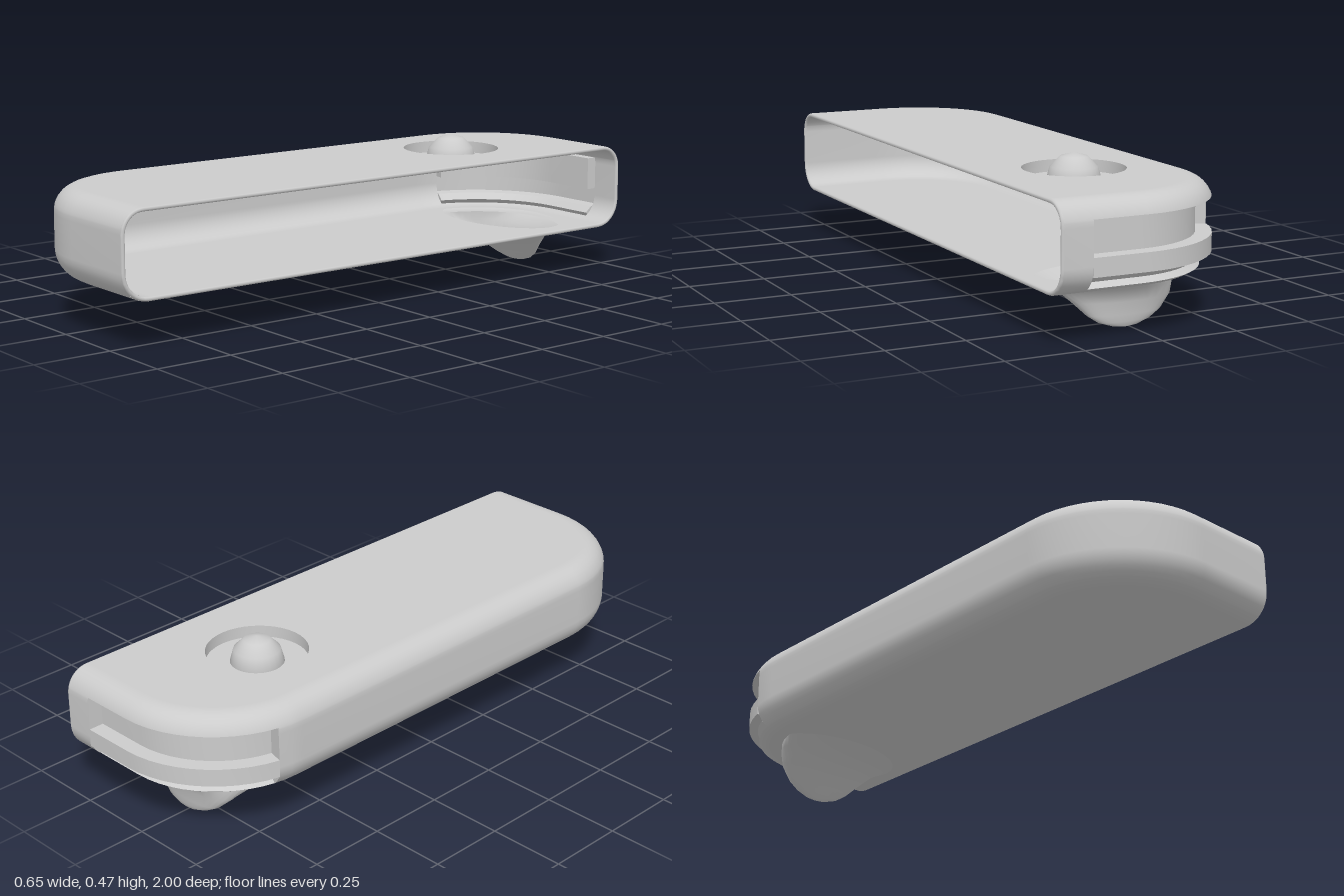
import * as THREE from 'three';
import { toCreasedNormals } from 'three/addons/utils/BufferGeometryUtils.js';

const TOP = 0.425, BOT = 0.147, R_TOP = 0.075, R_BOT = 0.09, WALL = 0.014;
const SLOT_TOP = 0.37, SLOT_BOT = 0.165, FLAT = 0.008;
const ARC = { x: 0.045, z: 0.63, r: 0.37, steps: 13 };
const SLOT_FROM = 1, SLOT_TO = 13; // slot range along the outline

const material = new THREE.MeshStandardMaterial({ color: 0xcccccc, side: THREE.DoubleSide });

function addMesh(group, name, geometry) {
  const mesh = new THREE.Mesh(geometry, material);
  mesh.name = name;
  group.add(mesh);
  return mesh;
}

// Surface through rows of points; skip(i, j) leaves a cell open
function grid(rows, skip = () => false) {
  const n = rows[0].length, index = [];
  for (let i = 0; i < rows.length - 1; i++) {
    for (let j = 0; j < n - 1; j++) {
      if (skip(i, j)) continue;
      const a = i * n + j, b = a + n;
      index.push(a, a + 1, b, b, a + 1, b + 1);
    }
  }
  const g = new THREE.BufferGeometry().setFromPoints(rows.flat());
  g.setIndex(index);
  g.computeVertexNormals();
  return g;
}

// Plan outline from the back of the open side, round to the front
function makeOutline() {
  const back = [0.318, 0.225].map(x => ({ x, z: -1, nx: 0, nz: -1 }));
  for (let i = 0; i <= ARC.steps; i++) {
    const a = (i / ARC.steps) * Math.PI / 2, nx = -Math.sin(a), nz = -Math.cos(a);
    back.push({ x: ARC.x + ARC.r * nx, z: -ARC.z + ARC.r * nz, nx, nz });
  }
  const front = back.map(p => ({ ...p, z: -p.z, nz: -p.nz })).reverse();
  return [...back, ...front];
}
const outline = makeOutline();
const at = (p, inset, y) => new THREE.Vector3(p.x - p.nx * inset, y, p.z - p.nz * inset);

// How far the rounded side wall lies inside the outline at height y
function insetAt(y, t) {
  const dTop = y - (TOP - R_TOP), dBot = BOT + R_BOT - y;
  const [d, r] = dTop > 0 ? [dTop, R_TOP - t] : dBot > 0 ? [dBot, R_BOT - t] : [0, 1];
  return t + r - Math.sqrt(Math.max(0, r * r - d * d));
}

// Side wall profile from bottom to top, as [inset, y]
function wallProfile(t) {
  const ys = [SLOT_BOT, SLOT_TOP];
  for (let i = 0; i <= 8; i++) {
    const s = Math.sin((i / 8) * Math.PI / 2);
    ys.push(BOT + R_BOT - (R_BOT - t) * s, TOP - R_TOP + (R_TOP - t) * s);
  }
  ys.sort((a, b) => a - b);
  return [[R_BOT + FLAT, BOT + t], ...ys.map(y => [insetAt(y, t), y]), [R_TOP + FLAT, TOP - t]];
}

// Flat top or bottom plate with one hole
function panel(inset, y, hole, up) {
  const s = up ? -1 : 1;
  const shape = new THREE.Shape(outline.map(p => at(p, inset, 0)).map(v => new THREE.Vector2(v.x, s * v.z)));
  shape.holes.push(new THREE.Path(hole.map(v => new THREE.Vector2(v.x, s * v.z))));
  const g = new THREE.ShapeGeometry(shape);
  g.rotateX(s * Math.PI / 2);
  return g.translate(0, y, 0);
}

// Closed horizontal section, kept within the rounded corner
function section(y, cx, hx, zBack, zFront, n = 32) {
  const pts = [];
  for (let i = 0; i <= n; i++) {
    const a = (i / n) * Math.PI * 2;
    let x = cx + hx * Math.cos(a);
    let z = (zBack + zFront) / 2 + (zFront - zBack) / 2 * Math.sin(a);
    const dx = x - ARC.x, dz = z + ARC.z, d = Math.hypot(dx, dz);
    if (dx < 0 && dz < 0 && d > 0.255) {
      x = ARC.x + dx * 0.255 / d;
      z = -ARC.z + dz * 0.255 / d;
    }
    pts.push(new THREE.Vector3(x, y, z));
  }
  return pts;
}

export function createModel() {
  const model = new THREE.Group();
  model.name = 'handheldGrip';

  const stick = { x: 0.02, z: -0.5, r: 0.16, floor: 0.387 };
  const stickHole = section(0, stick.x, stick.r, stick.z - stick.r, stick.z + stick.r, 40).slice(0, -1);

  // Trigger sections from the housing down to the tip: y, centre x, half width, back z, front z
  const triggerSections = [
    [BOT, 0.02, 0.25, -0.885, -0.58],
    [0.12, 0.005, 0.208, -0.845, -0.645],
    [0.08, 0.008, 0.163, -0.832, -0.71],
    [0.04, 0.01, 0.122, -0.826, -0.758],
    [0.018, 0.014, 0.085, -0.822, -0.783],
    [0.004, 0.014, 0.04, -0.817, -0.8],
    [0, 0.014, 0.002, -0.811, -0.809],
  ].map(s => section(...s));
  const triggerHole = triggerSections[0].slice(0, -1);

  // Hollow shell: outer and inner skins, with a slot left open at the back
  for (const [label, t] of [['outer', 0], ['inner', WALL]]) {
    const profile = wallProfile(t);
    const rows = profile.map(([inset, y]) => outline.map(p => at(p, inset, y)));
    const inSlot = (i, j) => j >= SLOT_FROM && j < SLOT_TO &&
      profile[i][1] > SLOT_BOT - 1e-6 && profile[i + 1][1] < SLOT_TO && profile[i + 1][1] < SLOT_TOP + 1e-6;
    addMesh(model, label + 'Wall', grid(rows, inSlot));
    addMesh(model, label + 'TopPanel', panel(R_TOP + FLAT, TOP - t, stickHole, true));
    addMesh(model, label + 'BottomPanel', panel(R_BOT + FLAT, BOT + t, triggerHole, false));
  }

  // Rounded rim around the open side
  const rimHalf = wallProfile(WALL / 2).slice(1, -1).map(([inset, y]) => at(outline[0], inset, y));
  const rimOther = rimHalf.map(v => new THREE.Vector3(v.x, v.y, -v.z)).reverse();
  const rimPath = new THREE.CurvePath();
  const rimPoints = [...rimHalf, ...rimOther, rimHalf[0]];
  for (let i = 0; i < rimPoints.length - 1; i++) {
    if (rimPoints[i].distanceTo(rimPoints[i + 1]) > 1e-5) {
      rimPath.add(new THREE.LineCurve3(rimPoints[i], rimPoints[i + 1]));
    }
  }
  addMesh(model, 'openSideRim', new THREE.TubeGeometry(rimPath, 400, WALL / 2, 8, true));

  // Shoulder button: recessed band above a projecting ledge, inside the slot
  const buttonProfile = [
    [insetAt(SLOT_BOT, 0), SLOT_BOT], [0.055, 0.18], [0.03, 0.2], [0, 0.205],
    [0, 0.262], [0.05, 0.262], [0.05, SLOT_TOP], [insetAt(SLOT_TOP, 0), SLOT_TOP],
  ];
  const slotPath = outline.slice(SLOT_FROM, SLOT_TO + 1);
  const buttonRows = buttonProfile.map(([inset, y]) => slotPath.map(p => at(p, inset, y)));
  addMesh(model, 'shoulderButton', toCreasedNormals(grid(buttonRows), 0.5));
  for (const p of [slotPath[0], slotPath[slotPath.length - 1]]) {
    const rows = buttonProfile.map(([inset, y]) => [at(p, insetAt(y, 0), y), at(p, inset, y)]);
    addMesh(model, 'slotEnd', grid(rows));
  }

  // Trigger hanging under the back
  addMesh(model, 'trigger', grid(triggerSections));

  // Thumbstick well and dome
  const well = new THREE.LatheGeometry(
    [[0, stick.floor], [stick.r, stick.floor], [stick.r, TOP]].map(p => new THREE.Vector2(...p)), 40);
  addMesh(model, 'thumbstickWell', toCreasedNormals(well, 0.5)).position.set(stick.x, 0, stick.z);
  const dome = new THREE.SphereGeometry(0.085, 24, 3, 0, Math.PI * 2, 0, Math.PI / 2);
  addMesh(model, 'thumbstick', dome).position.set(stick.x, stick.floor, stick.z);

  return model;
}
